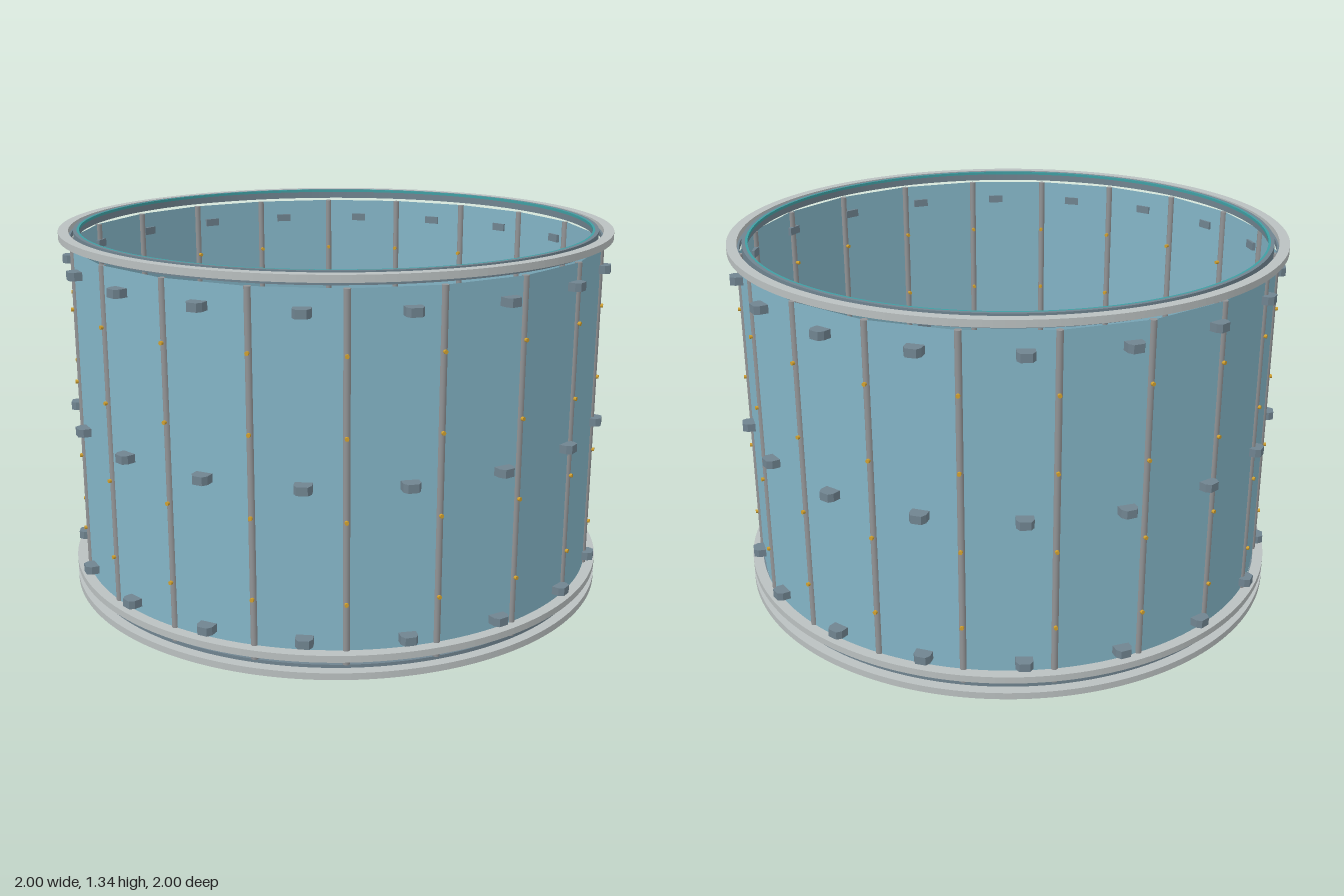
import * as THREE from 'three';

const mat = (name, color, side = THREE.FrontSide) => {
  const m = new THREE.MeshStandardMaterial({ color, side });
  m.name = name;
  return m;
};

export function createModel() {
  const model = new THREE.Group();
  model.name = 'ringDrum';
  const panelBlue = mat('panelBlue', 0x84b5c7, THREE.DoubleSide);
  const flangeGray = mat('flangeGray', 0xbac0c0);
  const postGray = mat('postGray', 0x929496);
  const blockSlate = mat('blockSlate', 0x708490);
  const boltBrass = mat('boltBrass', 0xd0a030);
  const sealTeal = mat('sealTeal', 0x3f9fa3);

  // Hollow ring with a rectangular section and sharp edges
  function ring(name, rIn, rOut, y0, y1, material) {
    const shape = new THREE.Shape().absarc(0, 0, rOut, 0, Math.PI * 2, false);
    shape.holes.push(new THREE.Path().absarc(0, 0, rIn, 0, Math.PI * 2, true));
    const geo = new THREE.ExtrudeGeometry(shape, { depth: y1 - y0, bevelEnabled: false, curveSegments: 96 });
    geo.rotateX(-Math.PI / 2);
    const mesh = new THREE.Mesh(geo, material);
    mesh.name = name;
    mesh.position.y = y0;
    model.add(mesh);
  }

  // Places a part on the wall at an angle measured from +z
  function onWall(name, geo, material, angle, radius, y) {
    const mesh = new THREE.Mesh(geo, material);
    mesh.name = name;
    mesh.position.set(Math.sin(angle) * radius, y, Math.cos(angle) * radius);
    mesh.rotation.y = angle;
    model.add(mesh);
  }

  // Flat wall panels between round posts
  const count = 20, step = (Math.PI * 2) / count;
  const bottom = 0.06, top = 1.285, wallR = 0.963;
  const panel = new THREE.PlaneGeometry(2 * wallR * Math.sin(step / 2), top - bottom);
  const post = new THREE.CylinderGeometry(0.012, 0.012, top - bottom + 0.01, 12);
  const bolt = new THREE.CylinderGeometry(0.007, 0.007, 0.044, 8).rotateX(Math.PI / 2);
  for (let i = 0; i < count; i++) {
    const a = i * step;
    onWall('panel', panel, panelBlue, a + step / 2, wallR * Math.cos(step / 2), (top + bottom) / 2);
    onWall('post', post, postGray, a, 0.959, (top + bottom) / 2 - 0.005);
    for (const y of [0.265, 0.545, 0.82, 1.08]) onWall('bolt', bolt, boltBrass, a, 0.957, y);
  }

  // Three rows of brackets with chamfered outer corners
  const outline = [[-0.029, 0.025], [-0.029, -0.01], [-0.018, -0.027], [0.018, -0.027], [0.029, -0.01], [0.029, 0.025]];
  const bracket = new THREE.ExtrudeGeometry(
    new THREE.Shape(outline.map(([x, y]) => new THREE.Vector2(x, y))),
    { depth: 0.029, bevelEnabled: false }
  ).rotateX(-Math.PI / 2);
  for (let i = 0; i < 18; i++) {
    for (const y of [0.118, 0.641, 1.198]) {
      onWall('bracket', bracket, blockSlate, ((i + 0.5) * Math.PI) / 9, 0.97, y);
    }
  }

  // Top and base rings: flange, collar beneath, inner liner and thin seal line
  for (const [name, y, sealY] of [['top', 1.295, 0.03], ['base', 0, 0]]) {
    ring(name + 'Flange', 0.964, 1, y + 0.014, y + 0.038, flangeGray);
    ring(name + 'Collar', 0.957, 0.965, y, y + 0.018, blockSlate);
    ring(name + 'Liner', 0.934, 0.947, y + 0.004, y + 0.04, blockSlate);
    ring(name + 'Seal', 0.926, 0.935, y + sealY, y + sealY + 0.01, sealTeal);
  }

  // Flange and collar around the foot of the wall
  ring('wallFlange', 0.962, 1, 0.076, 0.1, flangeGray);
  ring('wallCollar', 0.955, 0.965, 0.06, 0.078, blockSlate);

  return model;
}
